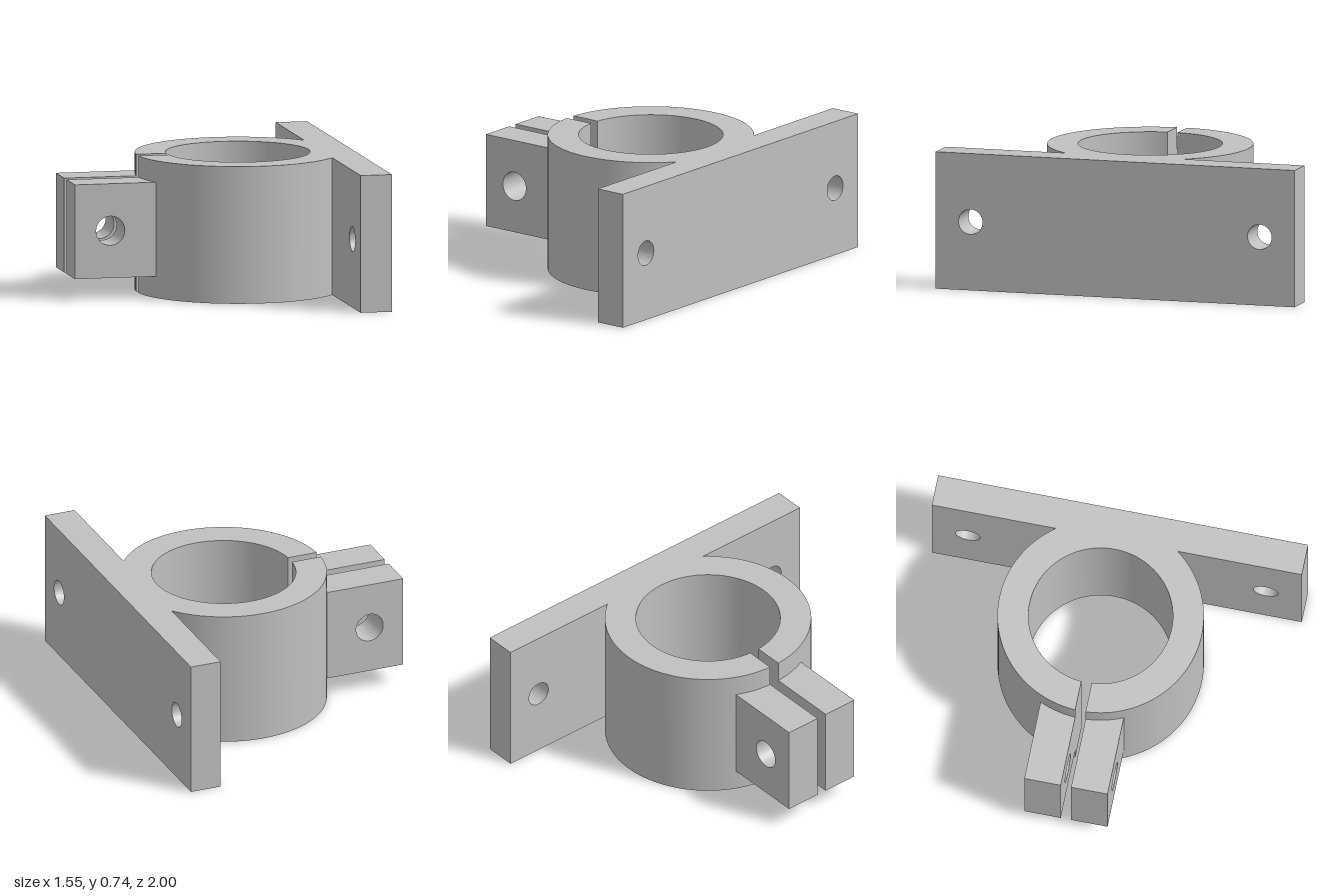
import * as THREE from 'three';
import { toCreasedNormals } from 'three/addons/utils/BufferGeometryUtils.js';

const HEIGHT = 0.735;
const GAP = 0.028;                         // half width of the clamp slot
const RING = { x: 0.165, outer: 0.547, inner: 0.383 };
const PLATE = { x0: 0.602, x1: 0.773 };

// Rectangle with round holes, given as [x, y, radius]
function drilledRect(x0, y0, x1, y1, holes) {
  const shape = new THREE.Shape();
  shape.moveTo(x0, y0).lineTo(x1, y0).lineTo(x1, y1).lineTo(x0, y1).closePath();
  for (const [x, y, r] of holes) {
    shape.holes.push(new THREE.Path().absarc(x, y, r, 0, Math.PI * 2, true));
  }
  return shape;
}

function extrude(shape, depth) {
  return new THREE.ExtrudeGeometry(shape, { depth, bevelEnabled: false, curveSegments: 64 });
}

export function createModel() {
  const group = new THREE.Group();
  const metal = new THREE.MeshStandardMaterial({ color: 0xc0c0c0 });
  metal.name = 'grey metal';

  const add = (name, geometry) => {
    const mesh = new THREE.Mesh(toCreasedNormals(geometry, 0.5), metal);
    mesh.name = name;
    group.add(mesh);
  };

  // Split ring: open at the slot, cut flat where it meets the plate
  const { x, outer, inner } = RING;
  const slotOuter = Math.PI - Math.asin(GAP / outer);
  const slotInner = Math.PI - Math.asin(GAP / inner);
  const flat = Math.acos((PLATE.x0 - x) / outer);
  const ring = new THREE.Shape();
  ring.absarc(x, 0, outer, slotOuter, flat, true);
  ring.absarc(x, 0, outer, -flat, -slotOuter, true);
  ring.absarc(x, 0, inner, -slotInner, slotInner, false);
  ring.closePath();
  add('splitRing', extrude(ring, HEIGHT).rotateX(-Math.PI / 2));

  // Mounting plate with two screw holes
  const plate = drilledRect(-1, 0, 1, HEIGHT, [[-0.805, 0.368, 0.067], [0.805, 0.368, 0.067]]);
  add('mountingPlate', extrude(plate, PLATE.x1 - PLATE.x0).rotateY(Math.PI / 2).translate(PLATE.x0, 0, 0));

  // Pair of clamp ears with a bolt hole, running into the ring wall
  const earDepth = 0.197;
  const ear = drilledRect(-0.773, 0.115, -0.3, 0.62, [[-0.58, 0.368, 0.078]]);
  add('frontClampEar', extrude(ear, earDepth).translate(0, 0, GAP));
  add('backClampEar', extrude(ear, earDepth).translate(0, 0, -GAP - earDepth));

  return group;
}
